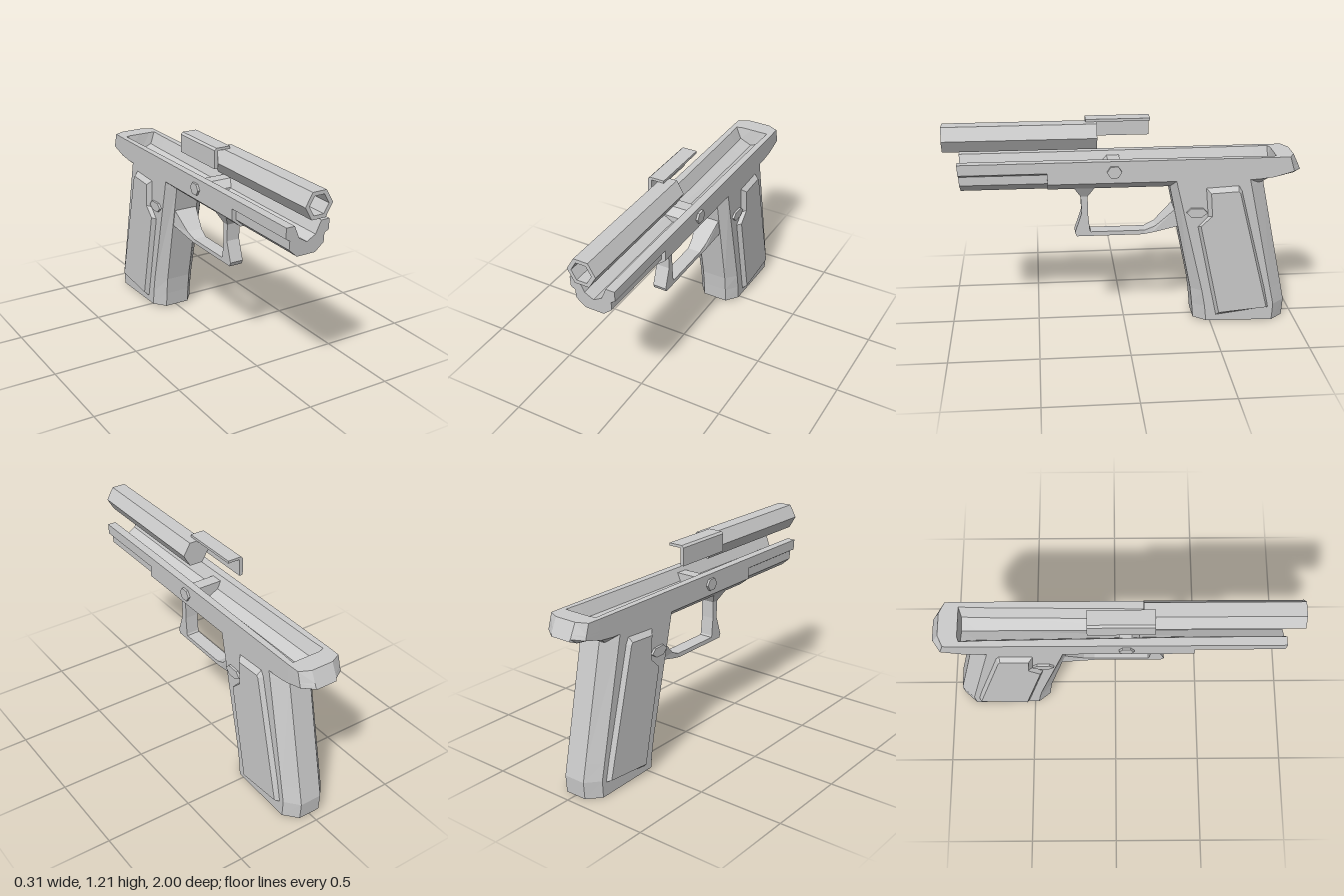
import * as THREE from 'three';

const material = new THREE.MeshStandardMaterial({ color: 0xcccccc, flatShading: true });
const vec = (p) => new THREE.Vector3(...p);

// Area-weighted normal of a closed ring of points
function ringNormal(ring) {
  const n = new THREE.Vector3();
  ring.forEach((p, i) => n.add(p.clone().cross(ring[(i + 1) % ring.length])));
  return n;
}

function centre(ring) {
  return ring.reduce((c, p) => c.add(p), new THREE.Vector3()).divideScalar(ring.length);
}

// Skin a row of rings with flat faces and close both ends
function loft(name, sections) {
  const rings = sections.map((s) => s.map(vec));
  const positions = [];
  const tri = (a, b, c, facing) => {
    const n = b.clone().sub(a).cross(c.clone().sub(a));
    if (n.length() < 1e-8) return;
    const order = facing && n.dot(facing) < 0 ? [a, c, b] : [a, b, c];
    order.forEach((p) => positions.push(p.x, p.y, p.z));
  };
  const along = centre(rings[1]).sub(centre(rings[0]));
  const flip = ringNormal(rings[0]).dot(along) < 0;
  for (let k = 0; k < rings.length - 1; k++) {
    const count = rings[k].length;
    for (let i = 0; i < count; i++) {
      const j = (i + 1) % count;
      const a = rings[k][i], b = rings[k][j], c = rings[k + 1][j], d = rings[k + 1][i];
      if (flip) { tri(a, c, b); tri(a, d, c); } else { tri(a, b, c); tri(a, c, d); }
    }
  }
  const cap = (ring, sign) => {
    const n = ringNormal(ring).multiplyScalar(flip ? -sign : sign);
    const [ax, ay, az] = [Math.abs(n.x), Math.abs(n.y), Math.abs(n.z)];
    const flat = ring.map((p) => (ax >= ay && ax >= az ? new THREE.Vector2(p.z, p.y)
      : ay >= az ? new THREE.Vector2(p.x, p.z) : new THREE.Vector2(p.x, p.y)));
    THREE.ShapeUtils.triangulateShape(flat, [])
      .forEach(([a, b, c]) => tri(ring[a], ring[b], ring[c], n));
  };
  cap(rings[0], -1);
  cap(rings[rings.length - 1], 1);
  const geometry = new THREE.BufferGeometry();
  geometry.setAttribute('position', new THREE.Float32BufferAttribute(positions, 3));
  geometry.computeVertexNormals();
  const mesh = new THREE.Mesh(geometry, material);
  mesh.name = name;
  return mesh;
}

// Ring from [z, y] points at a given x
const sideRing = (x, points) => points.map(([z, y]) => [x, y, z]);

// Frame section: U-shaped with a trough, side groove and chamfered belly
function frameSection({ z, tilt = 0, w = 0.13, s = w, ys = 0.875, yb = 0.83, b = 0.075,
  top = 0.08, low = 0.05, yt = 0.93, yc = 0.9 }) {
  const step = Math.max(0.925, ys);
  const half = [[top, 1], [w, 1], [w, Math.max(0.94, ys)], [s, step], [s, ys], [b, yb]];
  const right = [[low, yt], ...half];
  const left = right.map(([x, y]) => [-x, y]).reverse();
  return [[0, yc], ...right, ...left].map(([x, y]) => [x, y, z + tilt * (y - 1)]);
}

function hexRing(r, z) {
  return Array.from({ length: 6 }, (_, i) => {
    const a = (i * Math.PI) / 3;
    return [r * Math.cos(a), 1.12 + r * Math.sin(a), z];
  });
}

export function createModel() {
  const model = new THREE.Group();
  model.name = 'model';

  // Long body with open trough, side rails and rear tang
  const rail = { s: 0.105, b: 0.055 };
  const solid = { top: 0.05, low: 0.03, yt: 1, yc: 1 };
  model.add(loft('frame', [
    { z: 0.92, tilt: 0.06, ...rail },
    { z: 0.43, ...rail },
    { z: 0.43 },
    { z: -0.7, top: 0.095, low: 0.065 },
    { z: -0.755, top: 0.096, low: 0.066 },
    { z: -0.84, ys: 0.885, yb: 0.875, top: 0.1, low: 0.07 },
    { z: -0.85, ys: 0.888, yb: 0.877, top: 0.1, low: 0.07, yt: 1, yc: 1 },
    { z: -0.925, tilt: 0.3, w: 0.128, ys: 0.915, yb: 0.892, ...solid },
    { z: -0.955, tilt: 0.47, w: 0.065, ys: 0.92, yb: 0.908, b: 0.06, ...solid },
  ].map(frameSection)));

  // Raked eight-sided grip: y, front, front corner, back corner, back
  model.add(loft('grip', [
    [0, -0.405, -0.475, -0.865, -0.938],
    [0.1, -0.397, -0.465, -0.87, -0.945],
    [0.2, -0.385, -0.447, -0.848, -0.924],
    [0.84, -0.253, -0.295, -0.71, -0.79],
    [0.885, -0.245, -0.285, -0.7, -0.775],
  ].map(([y, f, fc, bc, bk]) => {
    const side = [[0.075, f], [0.13, fc], [0.13, bc], [0.065, bk]];
    const ring = [...side, ...side.map(([x, z]) => [-x, z]).reverse()];
    return ring.map(([x, z]) => [x, y + (y === 0 && z > -0.6 ? 0.01 : 0), z]);
  })));

  // Mirrored side parts: bevelled grip panels, buttons and pin heads
  const panelOuter = [[-0.45, 0.835], [-0.64, 0.845], [-0.66, 0.81], [-0.81, 0.23],
    [-0.843, 0.08], [-0.53, 0.04], [-0.41, 0.6], [-0.465, 0.66]];
  const panelInner = [[-0.48, 0.805], [-0.635, 0.813], [-0.645, 0.8], [-0.79, 0.23],
    [-0.825, 0.092], [-0.545, 0.068], [-0.427, 0.61], [-0.49, 0.67]];
  const button = [[-0.345, 0.69], [-0.37, 0.715], [-0.44, 0.713], [-0.465, 0.685],
    [-0.43, 0.66], [-0.375, 0.66]];
  const pin = Array.from({ length: 6 }, (_, i) => {
    const a = (i * Math.PI) / 3;
    return [0.06 + 0.042 * Math.cos(a), 0.94 + 0.037 * Math.sin(a)];
  });
  for (const [side, s] of [['left', 1], ['right', -1]]) {
    model.add(
      loft(`${side}GripPanel`, [sideRing(s * 0.125, panelOuter), sideRing(s * 0.155, panelInner)]),
      loft(`${side}Button`, [sideRing(s * 0.11, button), sideRing(s * 0.143, button)]),
      loft(`${side}Pin`, [sideRing(s * 0.12, pin), sideRing(s * 0.143, pin)]),
    );
  }

  // Guard loop, flaring where it meets frame and grip: outer, inner, half width
  model.add(loft('guard', [
    [[0.285, 0.835], [0.165, 0.835], 0.075],
    [[0.245, 0.77], [0.205, 0.77], 0.04],
    [[0.24, 0.67], [0.205, 0.67], 0.04],
    [[0.28, 0.553], [0.195, 0.565], 0.04],
    [[0.27, 0.53], [0.19, 0.555], 0.04],
    [[-0.11, 0.53], [-0.12, 0.555], 0.04],
    [[-0.16, 0.542], [-0.18, 0.583], 0.048],
    [[-0.32, 0.59], [-0.3, 0.7], 0.075],
  ].map(([o, i, w]) => [[w, o[1], o[0]], [w, i[1], i[0]], [-w, i[1], i[0]], [-w, o[1], o[0]]])));

  // Block crossing the trough
  const block = [[0.13, 0.9], [0.13, 0.935], [0.09, 0.975], [0.02, 0.975], [0.02, 0.9]];
  model.add(loft('crossBlock', [sideRing(-0.078, block), sideRing(0.078, block)]));

  // Six-sided hollow tube floating above the frame
  model.add(loft('barrel', [
    hexRing(0.082, 0.15), hexRing(0.082, 1), hexRing(0.058, 1), hexRing(0.058, 0.6),
  ]));

  // Thin L-shaped plate beside the tube
  const plate = [[-0.005, 1.205], [-0.09, 1.205], [-0.102, 1.193], [-0.102, 1.09],
    [-0.08, 1.09], [-0.08, 1.19], [-0.005, 1.19]];
  model.add(loft('cornerPlate', [-0.15, 0.21].map((z) => plate.map(([x, y]) => [x, y, z]))));

  return model;
}
